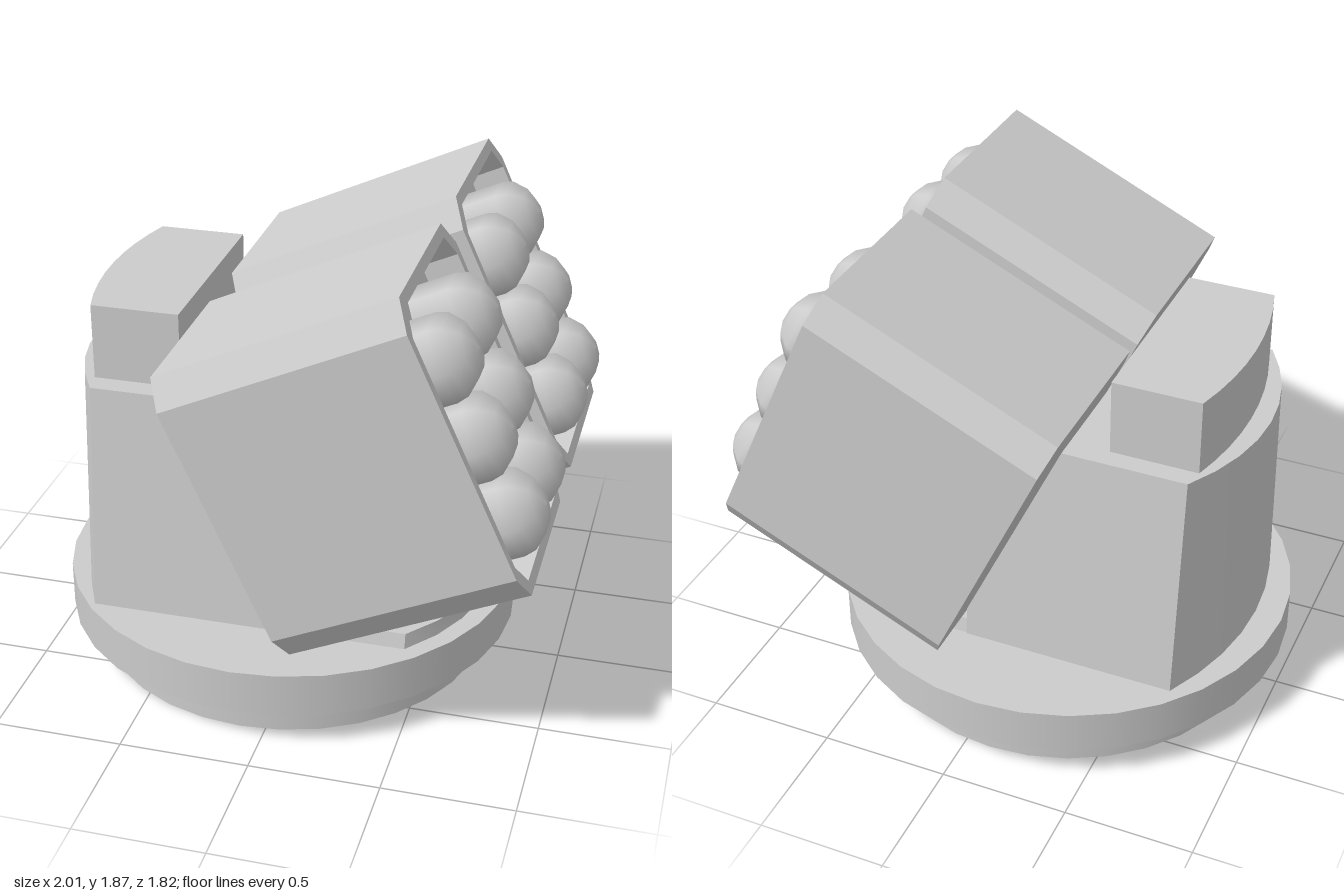
import * as THREE from 'three';
import { toCreasedNormals } from 'three/addons/utils/BufferGeometryUtils.js';

const material = new THREE.MeshStandardMaterial({ color: 0xcccccc });

function addMesh(parent, name, geometry) {
  const mesh = new THREE.Mesh(geometry, material);
  mesh.name = name;
  parent.add(mesh);
  return mesh;
}

// Round disc with the given radius between two heights
function disc(parent, name, radius, y0, y1) {
  const geo = new THREE.CylinderGeometry(radius, radius, y1 - y0, 32);
  addMesh(parent, name, geo).position.set(-0.1, (y0 + y1) / 2, -0.01);
}

// Upright block from half a plan outline of [x, z] points mirrored in z;
// taper is the width factor at the top
function block(half, y0, y1, taper = 1) {
  const mirrored = half.filter(p => p[1] > 0).reverse().map(([x, z]) => [x, -z]);
  const shape = new THREE.Shape([...half, ...mirrored].map(([x, z]) => new THREE.Vector2(x, z)));
  const geo = new THREE.ExtrudeGeometry(shape, { depth: y1 - y0, bevelEnabled: false });
  geo.rotateX(-Math.PI / 2);
  const pos = geo.attributes.position;
  for (let i = 0; i < pos.count; i++) {
    pos.setZ(i, pos.getZ(i) * THREE.MathUtils.lerp(1, taper, pos.getY(i) / (y1 - y0)));
  }
  geo.translate(0, y0, 0);
  return toCreasedNormals(geo, Math.PI / 6);
}

// Curved end: points from the tip on the centre line out to the half width
function arcEnd(tipX, cornerX, halfWidth, steps = 4) {
  const sag = Math.abs(tipX - cornerX);
  const r = (halfWidth ** 2 + sag ** 2) / (2 * sag);
  const sweep = Math.asin(halfWidth / r);
  const dir = Math.sign(cornerX - tipX);
  return Array.from({ length: steps + 1 }, (_, i) => {
    const a = (sweep * i) / steps;
    return [tipX + dir * r * (1 - Math.cos(a)), r * Math.sin(a)];
  });
}

// Rectangle with cut corners
function chamferedRect(Type, w, h, cw, ch) {
  const x = w / 2, y = h / 2;
  return new Type([
    [-x + cw, -y], [x - cw, -y], [x, -y + ch], [x, y - ch],
    [x - cw, y], [-x + cw, y], [-x, y - ch], [-x, -y + ch],
  ].map(p => new THREE.Vector2(...p)));
}

function extrudeAlongX(shape, x0, x1) {
  const geo = new THREE.ExtrudeGeometry(shape, { depth: x1 - x0, bevelEnabled: false });
  return geo.rotateY(Math.PI / 2).translate(x0, 0, 0);
}

const FRONT = 0.479, FLOOR = 0.335;

function createPod(name, z) {
  const pod = new THREE.Group();
  pod.name = name;
  pod.position.set(0.306, 1.1375, z);
  pod.rotation.z = THREE.MathUtils.degToRad(24.7);

  // Solid casing with a raised rim around the recessed front
  const outline = () => chamferedRect(THREE.Shape, 0.82, 1.172, 0.075, 0.108);
  addMesh(pod, 'podCasing', extrudeAlongX(outline(), -FRONT, FLOOR));
  const rim = outline();
  rim.holes.push(chamferedRect(THREE.Path, 0.745, 1.084, 0.066, 0.095));
  addMesh(pod, 'podRim', extrudeAlongX(rim, FLOOR, FRONT));

  // Two columns of three six-sided rockets with rounded noses
  const profile = [[0.16, FLOOR], [0.16, 0.485], [0.148, 0.53], [0.1, 0.58], [0.05, 0.602], [0, 0.61]]
    .map(p => new THREE.Vector2(...p));
  const rocket = new THREE.LatheGeometry(profile, 6).rotateZ(-Math.PI / 2);
  for (const side of [-0.176, 0.176]) {
    for (let row = 0; row < 3; row++) {
      addMesh(pod, 'rocket', rocket).position.set(0, -0.335 + row * 0.308, side);
    }
  }
  return pod;
}

export function createModel() {
  const model = new THREE.Group();
  model.name = 'rocketTurret';

  // Round base
  disc(model, 'baseFoot', 0.785, 0, 0.15);
  disc(model, 'baseRing', 0.9, 0.15, 0.325);

  // Low deck with a curved front
  const deck = [...arcEnd(0.72, 0.49, 0.57), [0.05, 0.57]];
  addMesh(model, 'frontDeck', block(deck, 0.325, 0.383, 0.975)).position.z = 0.01;

  // Tapered body with a curved back, and the housing on top of it
  const body = [...arcEnd(-0.89, -0.74, 0.575), [0.1, 0.575]].reverse();
  addMesh(model, 'body', block(body, 0.325, 1.22, 0.85)).position.z = 0.01;
  const housing = [...arcEnd(-0.815, -0.755, 0.405), [-0.415, 0.405]].reverse();
  addMesh(model, 'topHousing', block(housing, 1.22, 1.515)).position.z = 0.005;

  // Tilted rocket pods on both sides
  model.add(createPod('leftPod', 0.5), createPod('rightPod', -0.4475));
  return model;
}
